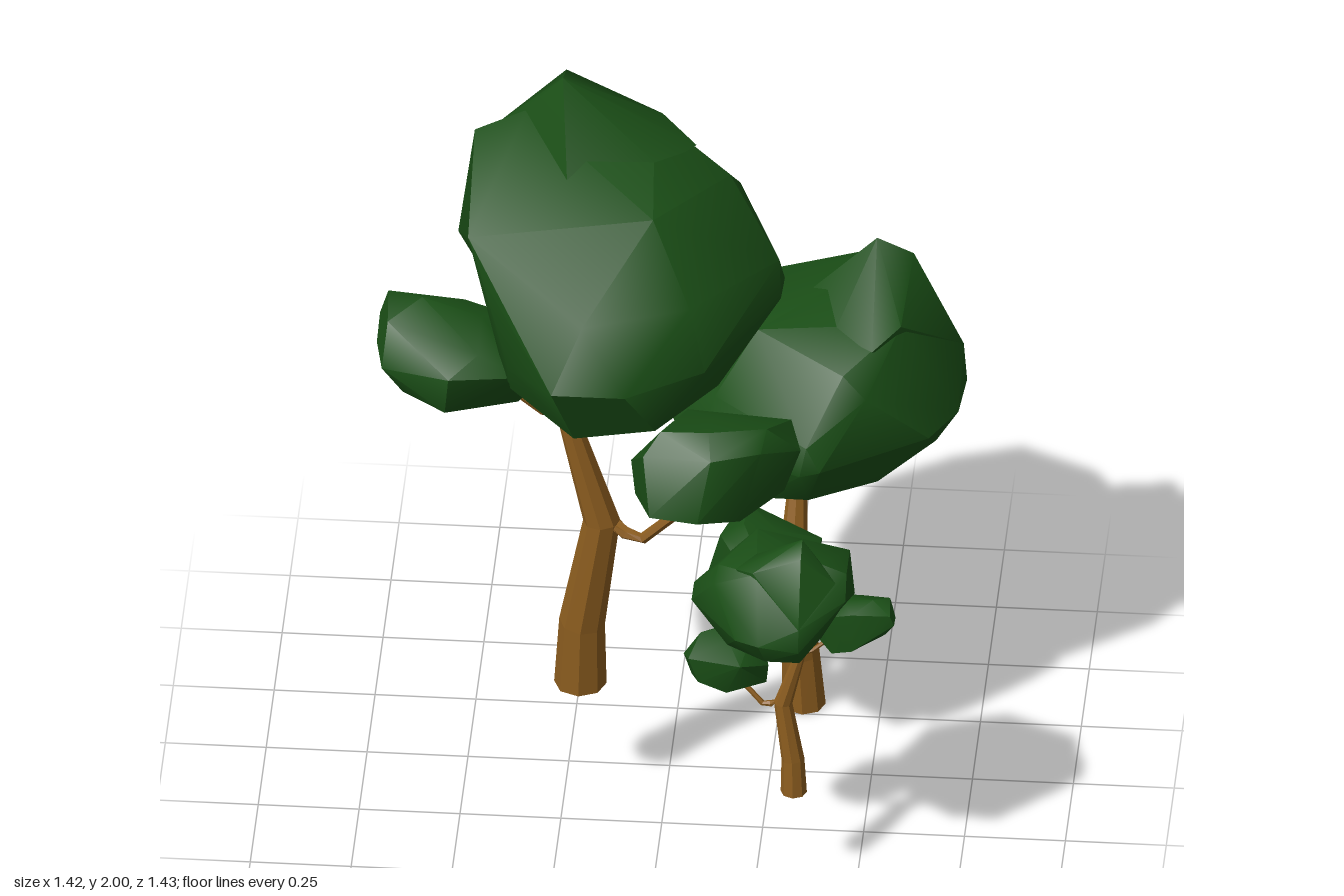
import * as THREE from 'three';
import { ConvexGeometry } from 'three/addons/geometries/ConvexGeometry.js';
import { toCreasedNormals } from 'three/addons/utils/BufferGeometryUtils.js';

const leaf = new THREE.MeshStandardMaterial({ color: 0x1a4e16 });
const bark = new THREE.MeshStandardMaterial({ color: 0x8c5d1f, flatShading: true });

// Tapered limb: a cylinder whose rows follow a path of [x, y, z, radius]
function limb(name, path, sides) {
  const n = path.length - 1;
  const pts = path.map(([x, y, z]) => new THREE.Vector3(x, y, z));
  const turns = pts.map((p, i) => new THREE.Quaternion().setFromUnitVectors(
    new THREE.Vector3(0, 1, 0),
    pts[Math.min(i + 1, n)].clone().sub(pts[Math.max(i - 1, 0)]).normalize()));
  turns[0].identity();
  const geo = new THREE.CylinderGeometry(1, 1, 1, sides, n);
  const pos = geo.attributes.position, v = new THREE.Vector3();
  for (let i = 0; i < pos.count; i++) {
    const row = Math.round((pos.getY(i) + 0.5) * n), r = path[row][3];
    v.set(pos.getX(i) * r, 0, pos.getZ(i) * r).applyQuaternion(turns[row]).add(pts[row]);
    pos.setXYZ(i, v.x, v.y, v.z);
  }
  geo.computeVertexNormals();
  const mesh = new THREE.Mesh(geo, bark);
  mesh.name = name;
  return mesh;
}

// Faceted foliage mass wrapped around a few outline points
function foliage(name, points) {
  const hull = new ConvexGeometry(points.map(p => new THREE.Vector3(...p)));
  hull.translate(0.21, -0.34, -0.15); // trunk foot becomes the tree origin
  const mesh = new THREE.Mesh(toCreasedNormals(hull, 0.7), leaf);
  mesh.name = name;
  return mesh;
}

function createTree(name) {
  const tree = new THREE.Group();
  tree.name = name;
  tree.add(
    limb('trunk', [
      [0, 0, -0.005, 0.065], [0.005, 0.19, 0.005, 0.057], [0.055, 0.51, 0.025, 0.046],
      [-0.03, 0.81, 0.015, 0.027], [0, 0.97, 0.02, 0.025], [0, 1.1, 0.02, 0.02]], 8),
    limb('lowerBranch', [
      [0.06, 0.53, 0.03, 0.026], [0.115, 0.487, 0.045, 0.017], [0.16, 0.48, 0.055, 0.014],
      [0.23, 0.555, 0.07, 0.013], [0.33, 0.64, 0.08, 0.011]], 6),
    limb('upperBranch', [
      [-0.03, 0.81, 0.02, 0.02], [-0.09, 0.83, 0.025, 0.012],
      [-0.15, 0.88, 0.03, 0.01], [-0.22, 0.95, 0.04, 0.008]], 6));

  tree.add(foliage('crown', [
    // upper shoulders
    [-0.49, 1.82, -0.09], [-0.36, 1.88, -0.1], [-0.05, 1.84, -0.16], [0.15, 1.78, 0],
    [0.17, 1.71, -0.07], [-0.02, 1.82, 0.27], [-0.48, 1.73, 0.25],
    // front brow
    [-0.44, 1.65, 0.31], [-0.18, 1.63, 0.48], [0.08, 1.64, 0.39],
    // widest ring
    [-0.27, 1.5, -0.34], [-0.27, 1.63, -0.33], [-0.07, 1.52, -0.33], [0.05, 1.5, -0.25],
    [0.2, 1.52, -0.05], [0.29, 1.52, 0.06], [0.285, 1.5, 0.12], [0.28, 1.6, 0.1],
    [0.12, 1.48, 0.43], [-0.07, 1.46, 0.53], [-0.25, 1.48, 0.56], [-0.37, 1.45, 0.4],
    [-0.42, 1.48, 0.25], [-0.49, 1.7, -0.16],
    // underside
    [-0.38, 1.31, 0.28], [-0.2, 1.3, 0.48], [0, 1.32, 0.46], [0.14, 1.32, 0.25],
    [0.2, 1.36, 0.1], [0.1, 1.37, -0.1], [-0.1, 1.39, -0.26], [-0.27, 1.39, -0.26],
    [-0.36, 1.37, 0]]));

  // ledge overhanging the side of the crown
  tree.add(foliage('crownLedge', [
    [-0.52, 1.61, 0.05], [-0.49, 1.7, -0.16], [-0.49, 1.82, -0.09], [-0.48, 1.73, 0.25],
    [-0.44, 1.6, 0.22], [-0.45, 1.54, 0], [-0.3, 1.7, 0]]));

  // peak rising from the back of the crown
  tree.add(foliage('crownPeak', [
    [-0.27, 2, -0.07], [-0.27, 1.95, -0.18], [-0.36, 1.89, -0.1], [-0.44, 1.8, -0.15],
    [-0.27, 1.63, -0.33], [-0.03, 1.845, -0.16], [0.06, 1.81, -0.08], [-0.02, 1.82, 0.04],
    [-0.24, 1.79, 0.16]]));

  tree.add(foliage('lowerClump', [
    [-0.08, 1.05, 0.2], [-0.04, 1.15, 0.33], [0, 1.2, 0.29], [0.12, 1.21, 0.3],
    [0.12, 1.19, 0.2], [0.26, 1.195, 0.25], [0.34, 1.1, 0.2], [0.31, 1.13, 0.11],
    [0.25, 1.16, 0.31], [-0.07, 0.95, 0.2], [-0.02, 1.01, 0.39], [0.05, 0.935, 0.22],
    [0.1, 1.01, 0.41], [0.13, 1.17, 0.37], [0.2, 0.97, 0.33], [0.3, 0.98, 0.2],
    [0.12, 0.95, 0.09], [0.05, 1.12, 0.07], [0.26, 1, 0.1]]));

  tree.add(foliage('upperClump', [
    [-0.71, 1.39, 0.1], [-0.69, 1.45, 0.09], [-0.71, 1.37, 0.2], [-0.6, 1.49, 0.17],
    [-0.68, 1.46, 0.24], [-0.69, 1.36, 0.3], [-0.64, 1.28, 0.28], [-0.66, 1.28, 0.18],
    [-0.53, 1.27, 0.35], [-0.52, 1.38, 0.37], [-0.45, 1.46, 0.2], [-0.5, 1.44, 0.1],
    [-0.5, 1.23, 0.09], [-0.4, 1.2, 0.11], [-0.36, 1.21, 0.2], [-0.31, 1.26, 0.19],
    [-0.34, 1.35, 0.3], [-0.34, 1.4, 0.12], [-0.45, 1.42, 0.31]]));
  return tree;
}

export function createModel() {
  const grove = new THREE.Group();
  grove.name = 'grove';
  // One tree repeated with its own place, size and heading
  const layout = [
    ['tallTree', [-0.21, 0.34, 0.15], 1, 0],
    ['middleTree', [0.305, 0, -0.3], 0.825, -Math.PI / 2],
    ['smallTree', [0.345, 0.27, 0.475], 0.5, Math.PI]];
  for (const [name, place, size, heading] of layout) {
    const tree = createTree(name);
    tree.position.set(...place);
    tree.scale.setScalar(size);
    tree.rotation.y = heading;
    grove.add(tree);
  }
  return grove;
}
